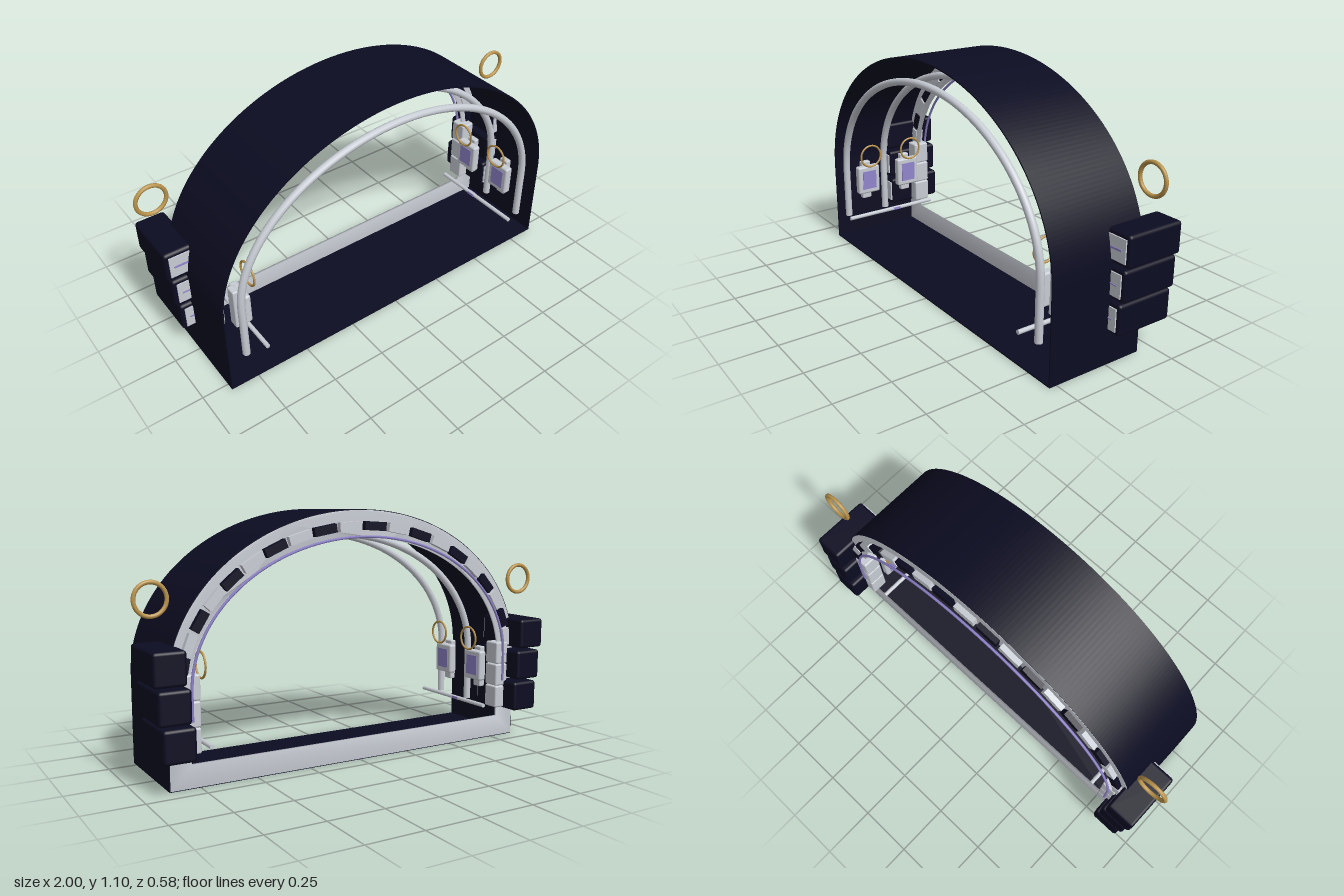
import * as THREE from 'three';
import { mergeVertices } from 'three/addons/utils/BufferGeometryUtils.js';
import { RoundedBoxGeometry } from 'three/addons/geometries/RoundedBoxGeometry.js';

const material = (name, color, side = THREE.FrontSide) =>
  Object.assign(new THREE.MeshStandardMaterial({ color, side }), { name });

const SPRING = 0.4; // height where the straight walls turn into the arch
const BACK = -0.175, FRONT = 0.285;

// Closed arch outline, used for the shell and for its holes
function archOutline(Type, a, top, bottom) {
  const s = new Type();
  s.moveTo(-a, bottom);
  s.lineTo(a, bottom);
  s.lineTo(a, SPRING);
  s.absellipse(0, SPRING, a, top - SPRING, 0, Math.PI, false, 0);
  s.lineTo(-a, bottom);
  return s;
}

// Open arch path for rails, standing on two legs
function archCurve(a, top, bottom, z) {
  const pts = [];
  for (let i = 0; i < 4; i++) pts.push(new THREE.Vector3(a, bottom + (SPRING - bottom) * i / 4, z));
  for (let i = 0; i <= 32; i++) {
    const t = Math.PI * i / 32;
    pts.push(new THREE.Vector3(a * Math.cos(t), SPRING + (top - SPRING) * Math.sin(t), z));
  }
  for (let i = 3; i >= 0; i--) pts.push(new THREE.Vector3(-a, bottom + (SPRING - bottom) * i / 4, z));
  return new THREE.CatmullRomCurve3(pts);
}

export function createModel() {
  const model = new THREE.Group();
  model.name = 'archPortal';
  const navy = material('navy', 0x0c0c22);
  const silver = material('silver', 0xc8ccd4);
  const violet = material('violet', 0x9085cc);
  const gold = material('gold', 0xb8924a);

  const add = (name, geometry, mat, x = 0, y = 0, z = 0, parent = model) => {
    const m = new THREE.Mesh(geometry, mat);
    m.name = name;
    m.position.set(x, y, z);
    parent.add(m);
    return m;
  };
  const box = (w, h, d, r = 0) =>
    r ? new RoundedBoxGeometry(w, h, d, 2, r) : new THREE.BoxGeometry(w, h, d);

  // Thin outer shell, open at the front
  const shell = archOutline(THREE.Shape, 0.88, 1.1, 0);
  shell.holes.push(archOutline(THREE.Path, 0.874, 1.094, 0.006));
  add('outerShell', new THREE.ExtrudeGeometry(shell,
    { depth: FRONT - BACK, bevelEnabled: false, curveSegments: 64 }), navy, 0, 0, BACK);

  // Pale frame closing the rear edge, with softened normals
  const frame = archOutline(THREE.Shape, 0.877, 1.097, 0.003);
  frame.holes.push(archOutline(THREE.Path, 0.785, 0.98, 0.1));
  let rim = new THREE.ExtrudeGeometry(frame, { depth: 0.012, bevelEnabled: false, curveSegments: 64 });
  rim.deleteAttribute('normal');
  rim.deleteAttribute('uv');
  rim = mergeVertices(rim, 1e-4);
  rim.computeVertexNormals();
  add('rearFrame', rim, silver, 0, 0, BACK - 0.001);

  // Alternating tiles around the rear frame
  const count = 20, step = THREE.MathUtils.degToRad(8.6);
  const tiles = new THREE.Group();
  tiles.name = 'archTiles';
  model.add(tiles);
  for (let i = 0; i < count; i++) {
    const t = Math.PI / 2 + (i - (count - 1) / 2) * step;
    const dx = -0.825 * Math.sin(t), dy = 0.63 * Math.cos(t);
    const tile = add('archTile', box(Math.hypot(dx, dy) * step * 0.87, 0.038, 0.042),
      i % 2 ? silver : navy, 0.825 * Math.cos(t), SPRING + 0.63 * Math.sin(t), -0.179, tiles);
    tile.rotation.z = Math.atan2(dy, dx);
  }

  // Arched rails and the rear light strip
  for (const z of [0.05, 0.265]) {
    add('archRail', new THREE.TubeGeometry(archCurve(0.785, 0.99, 0.145, z), 96, 0.017, 10), silver);
  }
  add('rearLightStrip', new THREE.TubeGeometry(archCurve(0.79, 0.985, 0.28, -0.208), 96, 0.006, 6), violet);

  for (const s of [1, -1]) {
    const side = new THREE.Group();
    side.name = s > 0 ? 'leftSide' : 'rightSide';
    model.add(side);

    // Stacked side pods, each a little further out than the one below
    for (let i = 0; i < 3; i++) {
      const x = s * (0.868 + 0.016 * i), y = 0.21 + 0.15 * i;
      add('sidePod', box(0.135, 0.138, 0.276, 0.014), navy, x, y, -0.146, side);
      add('podPlate', box(0.108, 0.1, 0.008), silver, x - s * 0.004, y, -0.006, side);
      add('podLight', box(0.06, i === 2 ? 0.009 : 0.005, 0.004), violet, x, y, -0.001, side);
      add('innerBlock', box(0.07, 0.105, 0.08, 0.008), silver, s * 0.787, 0.2 + 0.107 * i, -0.165, side);
    }

    // Wall panels with a screen, and a small hoop above each
    for (const z of [0.17, -0.06]) {
      add('panelBack', box(0.03, 0.2, 0.05, 0.006), silver, s * 0.768, 0.33, z, side);
      add('wallPanel', box(0.04, 0.145, 0.12, 0.01), silver, s * 0.74, 0.34, z, side);
      add('panelScreen', box(0.004, 0.095, 0.075), violet, s * 0.719, 0.34, z, side);
      const hoop = add('smallHoop', new THREE.TorusGeometry(0.055, 0.005, 8, 32), gold,
        s * 0.695, 0.475, z, side);
      hoop.rotation.y = Math.PI / 2;
    }

    // Low rod running front to back
    const rod = add('floorRod', new THREE.CylinderGeometry(0.01, 0.01, 0.48, 10), silver,
      s * 0.7, 0.16, 0.06, side);
    rod.rotation.x = Math.PI / 2;
    add('rodLight', box(0.022, 0.012, 0.04), violet, s * 0.7, 0.16, 0.03, side);

    // Large floating hoop
    add('largeHoop', new THREE.TorusGeometry(0.066, 0.009, 12, 40), gold, s * 0.925, 0.763, -0.147, side);
  }
  return model;
}
